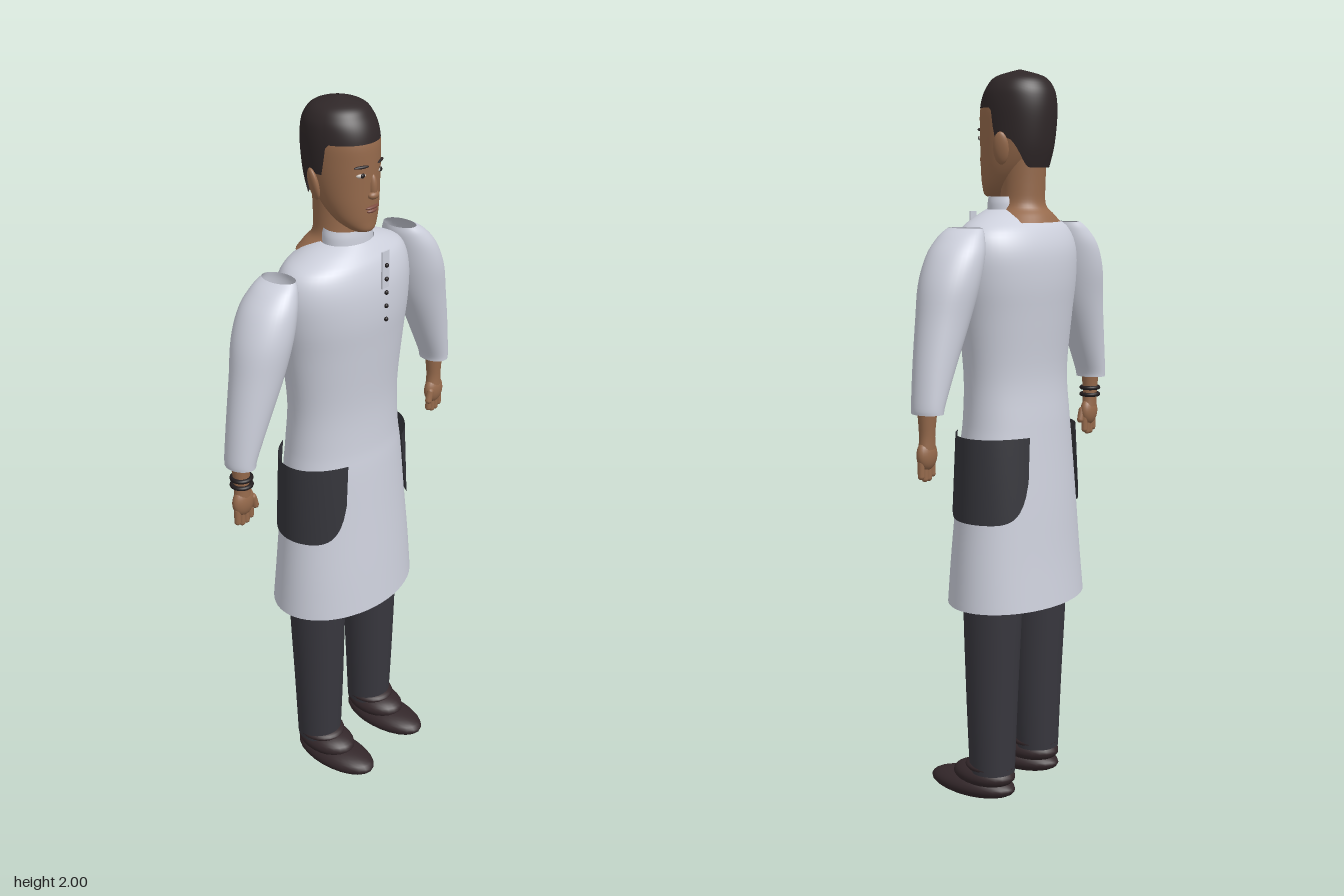
import * as THREE from 'three';

const mat = (name, color, double = false) => {
  const m = new THREE.MeshStandardMaterial({ color });
  m.name = name;
  if (double) m.side = THREE.DoubleSide;
  return m;
};

// Smooth interpolation through cross-sections [y, cx, cz, rx, rz], t in 0..1
function section(rows, t) {
  const f = Math.min(t, 1) * (rows.length - 1);
  const i = Math.min(Math.floor(f), rows.length - 2), u = f - i;
  const at = k => rows[Math.max(0, Math.min(rows.length - 1, k))];
  return rows[0].map((_, c) => {
    const p0 = at(i - 1)[c], p1 = at(i)[c], p2 = at(i + 1)[c], p3 = at(i + 2)[c];
    const a = (p2 - p0) / 2, b = (p3 - p1) / 2;
    return (2 * p1 - 2 * p2 + a + b) * u ** 3 + (3 * p2 - 3 * p1 - 2 * a - b) * u * u + a * u + p1;
  });
}

// Grid surface from a function of (u across, v up); wrap closes it around
function surface(nu, nv, fn, wrap) {
  const pos = [], idx = [], cols = wrap ? nu : nu + 1;
  for (let i = 0; i <= nv; i++)
    for (let j = 0; j < cols; j++) pos.push(...fn(j / nu, i / nv));
  for (let i = 0; i < nv; i++)
    for (let j = 0; j < nu; j++) {
      const a = i * cols + j, b = i * cols + (j + 1) % cols;
      idx.push(a, b, a + cols, b, b + cols, a + cols);
    }
  const g = new THREE.BufferGeometry();
  g.setAttribute('position', new THREE.Float32BufferAttribute(pos, 3));
  g.setIndex(idx);
  g.computeVertexNormals();
  return g;
}

const ring = ([y, cx, cz, rx, rz], a) => [cx + rx * Math.sin(a), y, cz + rz * Math.cos(a)];
const loft = (rows, nu = 40, nv = rows.length * 4) =>
  surface(nu, nv, (u, v) => ring(section(rows, v), u * Math.PI * 2), true);

export function createModel() {
  const root = new THREE.Group();
  root.name = 'figure';
  const skin = mat('skin', 0x966a4c, true), hairMat = mat('hair', 0x2f2728, true);
  const cloth = mat('coat cloth', 0xcdd0dc, true), pocketMat = mat('pocket cloth', 0x35353b, true);
  const trouser = mat('trouser cloth', 0x38373e, true), leather = mat('shoe leather', 0x33272a);
  const dark = mat('dark trim', 0x221d1e), white = mat('eye white', 0xc8bfb8), lip = mat('lips', 0x7d4c40);

  const add = (name, geo, material, parent = root) => {
    const m = new THREE.Mesh(geo, material);
    m.name = name;
    parent.add(m);
    return m;
  };
  const blob = (name, material, p, s, parent) => {
    const m = add(name, new THREE.SphereGeometry(1, 24, 16), material, parent);
    m.position.set(...p);
    m.scale.set(...s);
    return m;
  };

  // Long coat, standing collar
  add('coat', loft([
    [0.575, 0, -0.02, 0.235, 0.165], [0.7, 0, -0.019, 0.225, 0.155], [0.85, 0, -0.02, 0.21, 0.144],
    [1.0, 0, -0.02, 0.197, 0.132], [1.08, 0, -0.021, 0.187, 0.125], [1.2, 0, -0.018, 0.183, 0.119],
    [1.35, 0, -0.018, 0.2, 0.13], [1.45, 0, -0.018, 0.216, 0.138], [1.53, 0, -0.018, 0.22, 0.134],
    [1.585, 0, -0.015, 0.2, 0.115], [1.615, 0, -0.01, 0.145, 0.09], [1.638, 0, -0.003, 0.078, 0.062],
  ], 56), cloth);
  add('collar', loft([[1.635, 0, -0.003, 0.075, 0.06], [1.655, 0, -0.003, 0.073, 0.059], [1.672, 0, -0.003, 0.068, 0.057]]), cloth);

  // Placket and buttons
  add('placket', new THREE.BoxGeometry(0.028, 0.1, 0.004), cloth).position.set(0, 1.58, 0.122);
  for (let i = 0; i < 5; i++) blob('button', dark, [0, 1.592 - i * 0.037, 0.127], [0.006, 0.006, 0.005]);

  // Neck with flared nape, and head
  add('neck', loft([
    [1.605, 0, -0.06, 0.108, 0.071], [1.625, 0, -0.05, 0.085, 0.069], [1.65, 0, -0.04, 0.062, 0.061],
    [1.7, 0, -0.04, 0.058, 0.06], [1.79, 0, -0.04, 0.06, 0.065],
  ]), skin);
  const head = new THREE.Group();
  head.name = 'head';
  root.add(head);
  add('face', loft([
    [1.668, 0, 0.05, 0.004, 0.004], [1.673, 0, 0.047, 0.03, 0.028], [1.7, 0, 0.025, 0.058, 0.053],
    [1.74, 0, 0.005, 0.074, 0.075], [1.79, 0, -0.01, 0.083, 0.091], [1.85, 0, -0.018, 0.088, 0.1],
    [1.9, 0, -0.02, 0.089, 0.1], [1.94, 0, -0.025, 0.082, 0.09], [1.972, 0, -0.028, 0.055, 0.06],
    [1.985, 0, -0.03, 0.004, 0.004],
  ]), skin, head);
  blob('nose bridge', skin, [0, 1.788, 0.078], [0.011, 0.034, 0.013], head);
  blob('nose tip', skin, [0, 1.768, 0.081], [0.018, 0.011, 0.013], head);
  blob('upper lip', lip, [0, 1.736, 0.077], [0.024, 0.005, 0.009], head);
  blob('lower lip', lip, [0, 1.727, 0.076], [0.02, 0.006, 0.01], head);

  // Cropped hair with sideburns and a low nape
  const hairRows = [
    [1.74, 0, -0.015, 0.078, 0.092], [1.8, 0, -0.018, 0.089, 0.105], [1.87, 0, -0.024, 0.093, 0.107],
    [1.92, 0, -0.027, 0.092, 0.103], [1.955, 0, -0.03, 0.084, 0.09], [1.982, 0, -0.03, 0.06, 0.065],
    [2.0, 0, -0.03, 0.003, 0.003],
  ];
  add('hair', surface(72, 24, (u, v) => {
    const a = u * Math.PI * 2;
    const deg = THREE.MathUtils.radToDeg(Math.min(a, Math.PI * 2 - a));
    const edge = 0.43 - 0.21 * THREE.MathUtils.smoothstep(deg, 72, 85) - 0.19 * THREE.MathUtils.smoothstep(deg, 105, 145);
    return ring(section(hairRows, edge + (1 - edge) * v), a);
  }, true), hairMat, head);

  for (const s of [1, -1]) {
    const side = s > 0 ? 'left ' : 'right ';
    // Ears, eyes and brows
    blob(side + 'ear', skin, [s * 0.095, 1.797, -0.032], [0.011, 0.043, 0.021], head).rotation.set(0, s * 0.4, -s * 0.22);
    blob(side + 'eye', white, [s * 0.035, 1.824, 0.07], [0.014, 0.006, 0.007], head).rotation.y = s * 0.4;
    blob(side + 'iris', dark, [s * 0.034, 1.824, 0.075], [0.007, 0.006, 0.004], head);
    blob(side + 'brow', hairMat, [s * 0.037, 1.846, 0.073], [0.021, 0.004, 0.005], head).rotation.y = s * 0.4;

    // Sleeve, open at the shoulder
    add(side + 'sleeve', loft([
      [1.14, s * 0.408, -0.017, 0.035, 0.044], [1.165, s * 0.404, -0.017, 0.039, 0.046],
      [1.26, s * 0.374, -0.016, 0.056, 0.056], [1.37, s * 0.337, -0.016, 0.072, 0.069],
      [1.46, s * 0.311, -0.018, 0.077, 0.08], [1.53, s * 0.285, -0.02, 0.068, 0.078],
      [1.575, s * 0.26, -0.02, 0.05, 0.064], [1.597, s * 0.243, -0.021, 0.031, 0.05],
    ]), cloth);

    // Wrist and loosely closed hand
    const hand = new THREE.Group();
    hand.name = side + 'hand';
    root.add(hand);
    add('wrist', loft([
      [1.05, s * 0.407, -0.014, 0.026, 0.02], [1.09, s * 0.408, -0.015, 0.022, 0.02], [1.16, s * 0.407, -0.016, 0.03, 0.025],
    ], 20), skin, hand);
    blob('palm', skin, [s * 0.407, 1.035, -0.013], [0.035, 0.04, 0.021], hand);
    for (let i = 0; i < 4; i++) {
      const f = add('finger', new THREE.CapsuleGeometry(0.009, 0.035, 4, 10), skin, hand);
      f.position.set(s * (0.383 + i * 0.016), 0.992 + (i === 0 || i === 3 ? 0.008 : 0), -0.012);
    }
    const thumb = add('thumb', new THREE.CapsuleGeometry(0.01, 0.028, 4, 10), skin, hand);
    thumb.position.set(s * 0.377, 1.025, -0.004);
    thumb.rotation.z = -s * 0.3;
    if (s < 0) for (const y of [1.105, 1.085]) {
      const band = add('bracelet', new THREE.TorusGeometry(0.025, 0.006, 10, 28), dark, hand);
      band.position.set(s * 0.408, y, -0.015);
      band.rotation.x = Math.PI / 2;
    }

    // Rounded pocket panel wrapped around the hip
    const half = THREE.MathUtils.degToRad(58);
    add(side + 'pocket', surface(40, 10, (u, v) => {
      const k = u * 2 - 1;
      const low = 1.045 - 0.23 * Math.sqrt(Math.max(0, 1 - Math.abs(k) ** 6));
      const y = THREE.MathUtils.lerp(low, 1.045, v), h = (y - 0.81) / 0.235;
      return ring([y, 0, -0.02, 0.22 - 0.003 * h, 0.153 - 0.016 * h], s * Math.PI / 2 + k * half);
    }, false), pocketMat);

    // Trouser leg
    add(side + 'trouser leg', loft([
      [0.09, s * 0.116, -0.015, 0.062, 0.064], [0.3, s * 0.116, -0.015, 0.07, 0.072],
      [0.58, s * 0.116, -0.018, 0.077, 0.083], [0.85, s * 0.11, -0.02, 0.08, 0.088],
    ], 32), trouser);

    // Slip-on shoe
    blob(side + 'shoe sole', leather, [s * 0.116, 0.04, 0.05], [0.066, 0.036, 0.135]);
    blob(side + 'shoe upper', leather, [s * 0.116, 0.075, 0.012], [0.064, 0.036, 0.095]);
    blob(side + 'shoe cuff', leather, [s * 0.116, 0.105, -0.008], [0.064, 0.02, 0.072]);
  }
  return root;
}
